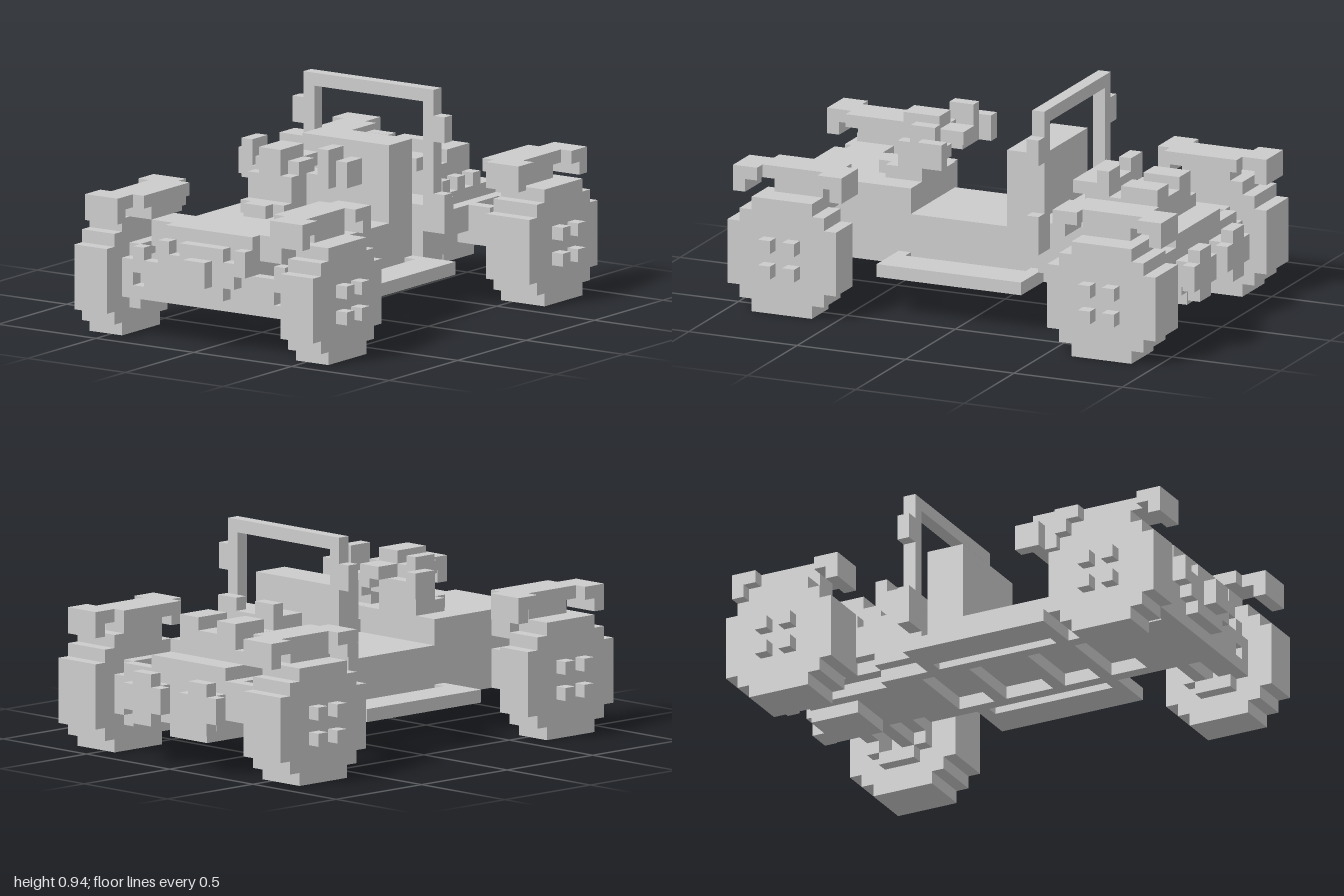
import * as THREE from 'three';

const U = 1 / 18; // one block

export function createModel() {
  const model = new THREE.Group();
  model.name = 'buggy';
  const grey = new THREE.MeshStandardMaterial({ color: 0xcccccc });
  grey.name = 'grey';

  // Block given by its limits in block units
  function box(name, x0, x1, y0, y1, z0, z1) {
    const m = new THREE.Mesh(new THREE.BoxGeometry((x1 - x0) * U, (y1 - y0) * U, (z1 - z0) * U), grey);
    m.position.set((x0 + x1) / 2 * U, (y0 + y1) / 2 * U, (z0 + z1) / 2 * U);
    m.name = name;
    model.add(m);
  }
  function pair(name, x0, x1, ...rest) {
    box(name + 'Left', x0, x1, ...rest);
    box(name + 'Right', -x1, -x0, ...rest);
  }

  // Stepped outline from [height, half width] rows
  function outline(rows) {
    const pts = [];
    for (let i = 0; i < rows.length - 1; i++) {
      pts.push([rows[i][1], rows[i][0]], [rows[i][1], rows[i + 1][0]]);
    }
    const left = pts.map(([r, y]) => [-r, y]).reverse();
    return [...pts, ...left].map(([r, y]) => new THREE.Vector2(r * U, y * U));
  }
  const tyre = outline([[0, 2.5], [1, 3.5], [2, 4.5], [7, 3.5], [8, 2.5], [9, 2.5]]);
  const well = outline([[2, 1.5], [3, 2.5], [6, 1.5], [7, 1.5]]);

  function disc(name, x0, x1, z, hollow) {
    for (const s of [1, -1]) {
      const shape = new THREE.Shape(tyre);
      if (hollow) shape.holes.push(new THREE.Path(well));
      const geo = new THREE.ExtrudeGeometry(shape, { depth: (x1 - x0) * U, bevelEnabled: false });
      geo.rotateY(Math.PI / 2);
      const m = new THREE.Mesh(geo, grey);
      m.position.set((s > 0 ? x0 : -x1) * U, 0, z * U);
      m.name = name + (s > 0 ? 'Left' : 'Right');
      model.add(m);
    }
  }
  // Wheel: closed outer disc, tyre open to the inside, four nuts
  function wheels(name, x0, x1, z) {
    disc(name + 'Disc', x1 - 1, x1, z, false);
    disc(name + 'Tyre', x0, x1 - 1, z, true);
    for (const y of [3, 5]) for (const dz of [-1.5, 0.5]) {
      pair('wheelNut', x1, x1 + 1, y, y + 1, z + dz, z + dz + 1);
    }
    // Inner rim ring
    for (const y of [2, 6]) pair('innerRim', 7, 8, y, y + 1, z - 1.5, z + 1.5);
    for (const dz of [-2.5, 1.5]) pair('innerRimSide', 7, 8, 3, 6, z + dz, z + dz + 1);
  }
  wheels('frontWheel', 8, 11, 13.5);
  wheels('rearWheel', 8, 12, -13.5);

  // Fenders: wide ends, narrow waist, drooping tips
  function fenders(name, x0, x1, dir) {
    const part = (n, a, b, y0, y1, z0, z1) =>
      pair(name + n, a, b, y0, y1, Math.min(z0 * dir, z1 * dir), Math.max(z0 * dir, z1 * dir));
    part('Waist', x0, x1 - 1, 10, 11, 11, 16);
    part('InnerEnd', x0, x1, 10, 11, 9, 11);
    part('OuterEnd', x0, x1, 10, 11, 16, 18);
    part('Lip', x0 - 1, x0, 10, 11, 10, 16);
    part('Tip', x0, x1, 9, 10, 17, 18);
    part('Tail', x0, x1, 9, 10, 9, 10);
    part('Core', x0, x1 - 1, 9, 10, 11, 15);
  }
  fenders('frontFender', 7, 10, 1);
  fenders('rearFender', 8, 11, -1);
  pair('frontFenderStay', 6, 7, 9, 10, 11, 15);

  // Chassis with a ladder frame beneath
  box('chassis', -4, 4, 4, 7, -9, 12);
  pair('frameRail', 3, 4, 3, 4, -9, 12);
  for (const [a, b] of [[-9, -6], [-3, -2], [2, 3], [6, 7], [10, 12]]) box('frameCrossBar', -3, 3, 3, 4, a, b);
  pair('runningBoard', 5, 8, 3, 4, -5, 7);
  pair('boardMountRear', 4, 5, 3, 4, -5, -4);
  pair('boardMountFront', 4, 5, 3, 4, 6, 7);

  // Nose
  box('noseBody', -4, 4, 3, 9, 12, 16);
  box('noseGrille', -3, 3, 5, 7, 16, 17);
  box('noseGrilleTall', -2, 2, 4, 8, 16, 17);
  box('noseBadge', -1, 1, 5, 7, 17, 18);
  pair('noseLamp', 3, 4, 6, 8, 16, 17);

  // Front suspension
  for (const z of [12, 15]) {
    pair('frontLowerArm', 4, 8, 3, 4, z, z + 1);
    pair('frontUpperArm', 4, 6, 4, 6, z, z + 1);
    pair('frontUpperArmEnd', 6, 7, 5, 7, z, z + 1);
  }
  pair('frontAxle', 4, 10, 4, 5, 13, 14);
  pair('frontStrut', 4, 6, 7, 9, 12, 15);

  // Dash and steering bars
  box('dash', -4, 4, 7, 9, 6, 12);
  box('column', -2, 2, 9, 10, 6, 9);
  box('columnFront', -1, 1, 9, 10, 9, 10);
  box('columnNeck', -1, 1, 10, 11, 6, 8);
  box('columnUpper', -1, 1, 11, 14, 5, 8);
  box('columnShoulder', -2, 2, 10, 12, 6, 8);
  box('barCentre', -1, 1, 12, 13, 3, 5);
  pair('barArm', 1, 3, 11, 12, 4, 6);
  pair('barRise', 1, 2, 12, 13, 5, 7);
  pair('barEnd', 3, 4, 11, 14, 4, 6);
  pair('barGrip', 4, 5, 11, 13, 3, 5);

  // Seat and roll bar
  box('seatBack', -4, 4, 7, 13, -5, -2);
  pair('rollPost', 5, 6, 6, 17, -6, -5);
  box('rollTop', -5, 5, 16, 17, -6, -5);
  pair('rollEar', 6, 7, 13, 15, -6, -5);
  pair('rollFoot', 6, 7, 6, 9, -6, -5);
  box('rollBase', -5, 5, 4, 8, -6, -5);

  // Rear body and suspension
  box('rearDeck', -5, 5, 4, 8, -9, -6);
  box('rearBody', -4, 4, 4, 8, -16, -9);
  pair('rearRail', 4, 5, 5, 7, -16, -9);
  box('rearFloor', -3, 3, 3, 4, -16, -9);
  box('gearbox', -2, 2, 2, 3, -16, -12);
  for (const z of [-16, -12]) {
    pair('rearLowerArm', 4, 8, 4, 5, z, z + 1);
    pair('rearUpperArm', 5, 7, 5, 7, z, z + 1);
  }
  pair('rearAxle', 4, 11, 4, 6, -14, -13);

  // Engine
  box('engine', -3, 3, 8, 10, -14, -8);
  box('engineTop', -3, 3, 10, 11, -10, -7);
  pair('engineHead', 1, 3, 10, 11, -14, -11);
  pair('engineCap', 1, 3, 11, 12, -10, -9);
  for (const z of [-14, -12, -10]) pair('engineRib', 3, 4, 8, 9, z, z + 1);

  // Exhausts
  pair('exhaustPipe', 2, 4, 4, 6, -17, -16);
  pair('exhaustFlange', 1, 5, 4, 6, -18, -17);
  pair('exhaustRing', 2, 4, 3, 7, -18, -17);

  return model;
}
